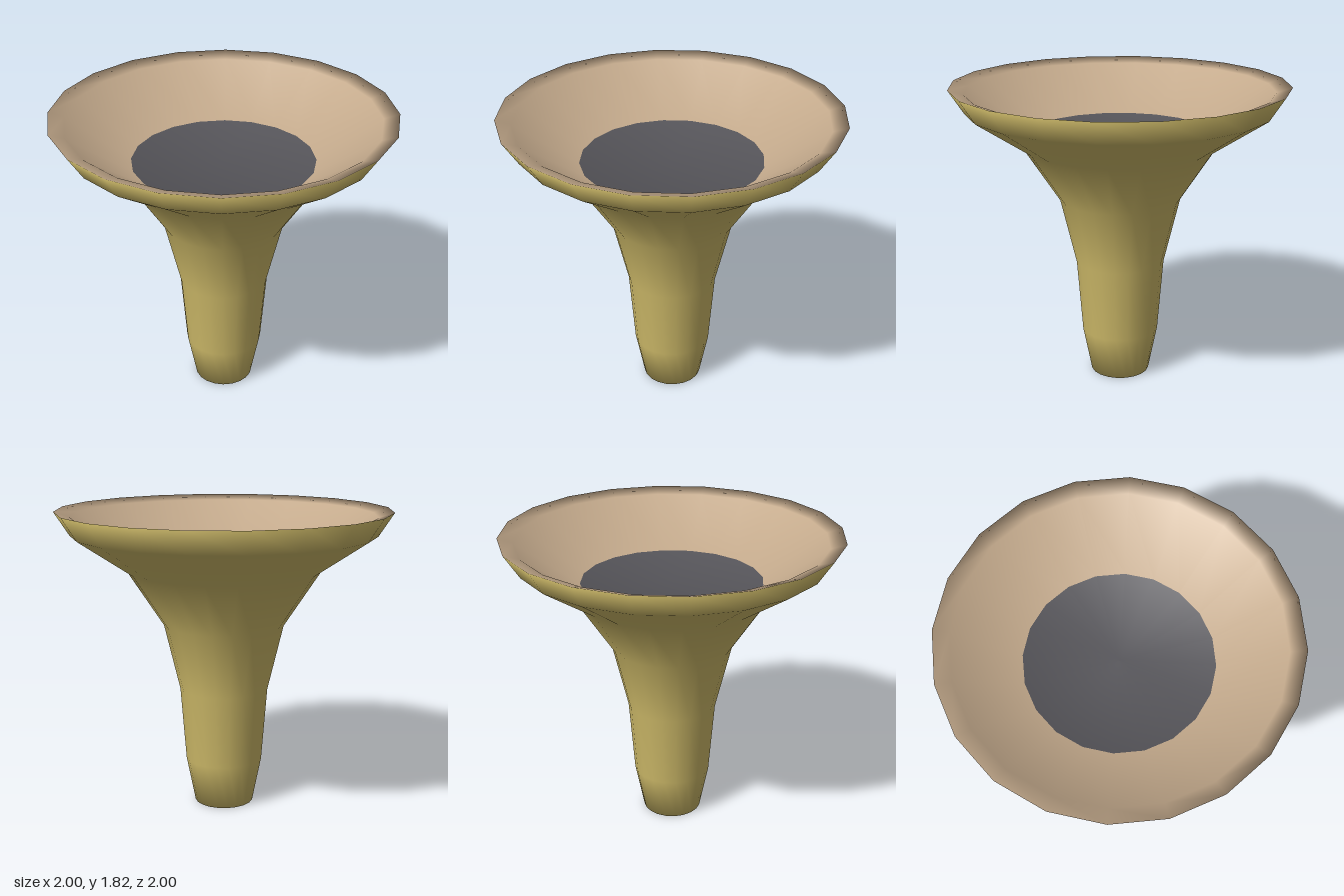
import * as THREE from 'three';

const SIDES = 20;

// One continuous profile: base centre, up the outside, over the lip, down into the bowl
const PROFILE = [
  [0, 0], [0.18, 0], [0.235, 0.28], [0.27, 0.73], [0.365, 1.13], [0.58, 1.46],
  [0.91, 1.68], [1, 1.82], [0.91, 1.79], [0.54, 1.53], [0, 1.53],
].map(([x, y]) => new THREE.Vector2(x, y));

const gold = new THREE.MeshStandardMaterial({ color: 0xd0bc6a });
gold.name = 'gold';
const tan = new THREE.MeshStandardMaterial({ color: 0xc4aa8c });
tan.name = 'tan';
const darkGrey = new THREE.MeshStandardMaterial({ color: 0x555459 });
darkGrey.name = 'darkGrey';

// Keeps the faces between two profile points, with normals still smooth across the seams
function band(name, first, last, material) {
  const geometry = new THREE.LatheGeometry(PROFILE, SIDES);
  const index = [];
  const n = PROFILE.length;
  for (let i = 0; i < SIDES; i++) {
    for (let j = first; j < last; j++) {
      const a = i * n + j, b = a + n;
      index.push(a, b, a + 1, b + 1, a + 1, b);
    }
  }
  geometry.setIndex(index);
  const mesh = new THREE.Mesh(geometry, material);
  mesh.name = name;
  return mesh;
}

export function createModel() {
  const group = new THREE.Group();
  group.name = 'flaredHorn';
  group.add(
    band('outerBody', 0, 7, gold),        // closed base, stem and flare
    band('innerBowl', 7, 9, tan),         // lip and sloping inner wall
    band('throatDisc', 9, 10, darkGrey),  // dark floor of the bowl
  );
  return group;
}
